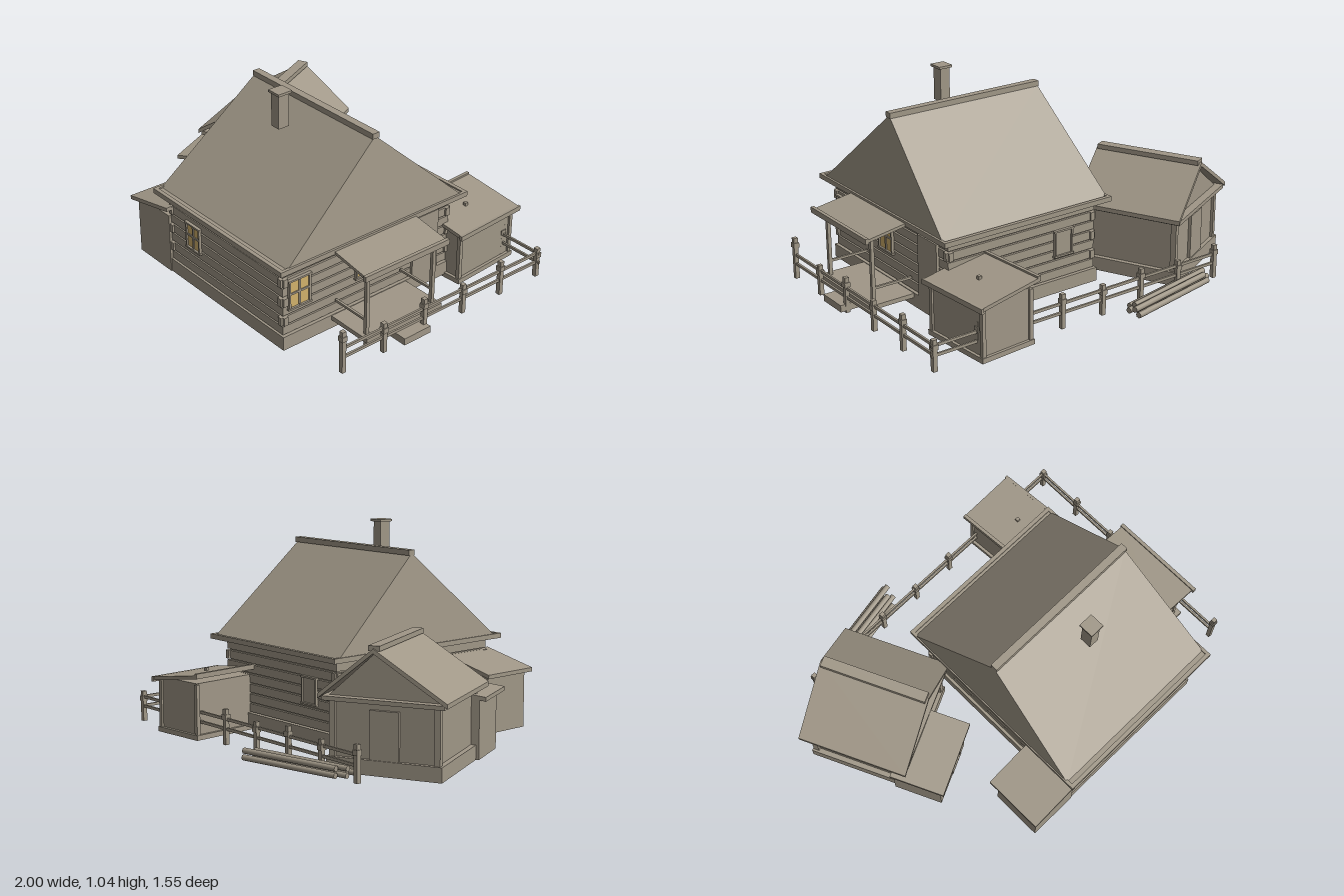
import * as THREE from 'three';

export function createModel() {
  const root = new THREE.Group();
  const wood = new THREE.MeshStandardMaterial({ name: 'weathered wood', color: 0xa09787 });
  const glow = new THREE.MeshStandardMaterial({ name: 'lit window', color: 0xd3b26c });

  const group = (name, parent = root) => {
    const g = new THREE.Group();
    g.name = name;
    parent.add(g);
    return g;
  };
  const add = (parent, name, geo, mat = wood) => {
    const m = new THREE.Mesh(geo, mat);
    m.name = name;
    parent.add(m);
    return m;
  };
  // Box given by its extents on each axis; rise lifts it along x like a sloping roof
  const box = (parent, name, [x0, x1], [y0, y1], [z0, z1], mat = wood, rise = 0) => {
    const g = new THREE.BoxGeometry(x1 - x0, y1 - y0, z1 - z0);
    const p = g.attributes.position;
    for (let i = 0; i < p.count; i++) p.setY(i, p.getY(i) + rise * (p.getX(i) / (x1 - x0) + 0.5));
    g.translate((x0 + x1) / 2, (y0 + y1) / 2, (z0 + z1) / 2);
    g.computeVertexNormals();
    return add(parent, name, g, mat);
  };
  // Solid with a rectangular foot and a different, smaller rectangular top
  const taper = (parent, name, foot, top, y0, y1) => {
    const g = new THREE.BoxGeometry(1, 1, 1);
    const p = g.attributes.position;
    for (let i = 0; i < p.count; i++) {
      const up = p.getY(i) > 0, r = up ? top : foot;
      p.setXYZ(i, p.getX(i) < 0 ? r[0] : r[1], up ? y1 : y0, p.getZ(i) < 0 ? r[2] : r[3]);
    }
    g.computeVertexNormals();
    return add(parent, name, g);
  };
  // Framed window or shutter facing +z, centred on its own origin
  const windowUnit = (parent, name, w, h, x, y, z, turn, lit) => {
    const g = group(name, parent);
    const a = w / 2, b = h / 2, t = 0.009;
    box(g, 'pane', [-a, a], [-b, b], [0, 0.006], lit ? glow : wood);
    for (const s of [-1, 1]) {
      box(g, 'sideFrame', [s * a - t / 2, s * a + t / 2], [-b, b], [0, 0.014]);
      box(g, 'crossFrame', [-a - t, a + t], [s * b - t / 2, s * b + t / 2], [0, 0.016]);
    }
    if (lit) {
      box(g, 'mullion', [-0.005, 0.005], [-b, b], [0, 0.011]);
      box(g, 'glazingBar', [-a, a], [-0.002, 0.008], [0, 0.011]);
    }
    g.position.set(x, y, z);
    g.rotation.y = turn;
  };
  // Log wall box: a core with stacked, protruding rows
  const logWalls = (parent, x, z, y0, y1, rows) => {
    box(parent, 'wallCore', x, [y0, y1], z);
    const h = (y1 - y0) / rows, o = 0.012;
    for (let i = 0; i < rows; i++) {
      const y = [y0 + i * h + 0.004, y0 + (i + 1) * h - 0.004];
      const e = i % 2 ? 0.022 : 0.012;
      for (const s of [0, 1]) {
        box(parent, 'wallLog', [x[0] - e, x[1] + e], y, [z[s] - o, z[s] + o]);
        box(parent, 'wallLog', [x[s] - o, x[s] + o], y, [z[0] - e, z[1] + e]);
      }
    }
  };

  // Main house
  const house = group('mainHouse');
  box(house, 'foundation', [-0.205, 0.675], [0.015, 0.085], [-0.32, 0.71]);
  logWalls(house, [-0.18, 0.65], [-0.295, 0.69], 0.085, 0.435, 7);
  box(house, 'eaveSlab', [-0.235, 0.705], [0.437, 0.458], [-0.35, 0.74]);
  for (const z of [-0.36, 0.745]) box(house, 'eaveBeam', [-0.25, 0.72], [0.44, 0.465], [z - 0.01, z + 0.01]);
  for (const x of [-0.242, 0.712]) box(house, 'endBeam', [x - 0.008, x + 0.008], [0.44, 0.465], [-0.36, 0.745]);
  taper(house, 'roof', [-0.245, 0.71, -0.34, 0.715], [-0.2, 0.66, 0.16, 0.18], 0.455, 0.905);
  box(house, 'ridgeCap', [-0.2, 0.665], [0.903, 0.93], [0.15, 0.188]);
  windowUnit(house, 'frontWindow', 0.1, 0.13, 0, 0.29, 0.702, 0, true);
  for (const z of [0.612, 0.22]) windowUnit(house, 'sideWindow', 0.115, 0.145, 0.662, 0.29, z, Math.PI / 2, true);
  windowUnit(house, 'backShutter', 0.1, 0.13, 0, 0.27, -0.307, Math.PI, false);
  box(house, 'sideDoor', [0.65, 0.675], [0.085, 0.4], [-0.23, -0.07]);

  // Chimney
  const chimney = group('chimney');
  box(chimney, 'stack', [0.205, 0.258], [0.86, 1.03], [0.335, 0.395]);
  box(chimney, 'chimneyCap', [0.195, 0.27], [1.028, 1.04], [0.325, 0.403]);

  // Side porch with posts, deck and step
  const porch = group('sidePorch');
  box(porch, 'porchRoof', [0.68, 0.935], [0.445, 0.46], [-0.04, 0.45], wood, -0.04);
  box(porch, 'porchFascia', [0.92, 0.938], [0.402, 0.43], [-0.045, 0.46]);
  box(porch, 'deck', [0.66, 0.92], [0.06, 0.082], [-0.03, 0.43]);
  for (const z of [0.0, 0.4]) {
    box(porch, 'porchPost', [0.872, 0.89], [0.02, 0.425], [z - 0.009, z + 0.009]);
    box(porch, 'porchRail', [0.67, 0.885], [0.148, 0.16], [z - 0.006, z + 0.006]);
  }
  box(porch, 'step', [0.9, 0.995], [0.02, 0.055], [0.11, 0.27]);

  // Small entry lean-to on the right flank
  const entry = group('entryLeanTo');
  box(entry, 'entryBody', [-0.45, -0.19], [0.015, 0.325], [0.45, 0.715]);
  box(entry, 'entryRoof', [-0.48, -0.17], [0.3, 0.32], [0.425, 0.74], wood, 0.065);

  // Rotated annexe behind
  const annexe = group('annexe');
  annexe.position.set(-0.605, 0, -0.257);
  annexe.rotation.y = 0.442;
  box(annexe, 'annexeFoundation', [-0.275, 0.275], [0.015, 0.085], [-0.255, 0.255]);
  box(annexe, 'annexeWalls', [-0.25, 0.25], [0.085, 0.35], [-0.235, 0.235]);
  for (const x of [-0.25, 0.25]) for (const z of [-0.235, 0.235])
    box(annexe, 'cornerPost', [x - 0.014, x + 0.014], [0.085, 0.35], [z - 0.014, z + 0.014]);
  box(annexe, 'annexeEaves', [-0.29, 0.29], [0.342, 0.362], [-0.275, 0.275]);
  taper(annexe, 'gableCore', [-0.27, 0.27, -0.235, 0.235], [0.03, 0.045, -0.235, 0.235], 0.36, 0.565);
  box(annexe, 'roofSlope', [-0.306, 0.04], [0.35, 0.372], [-0.28, 0.28], wood, 0.218);
  box(annexe, 'roofSlope', [0.04, 0.306], [0.568, 0.59], [-0.28, 0.28], wood, -0.218);
  box(annexe, 'annexeRidge', [0.012, 0.066], [0.578, 0.602], [-0.27, 0.27]);
  box(annexe, 'annexeDoor', [-0.07, 0.07], [0.085, 0.31], [-0.25, -0.23]);

  // Annexe lean-to
  box(annexe, 'leanToBody', [-0.29, 0.035], [0.015, 0.315], [0.2, 0.45]);
  box(annexe, 'leanToRoof', [-0.32, 0.055], [0.292, 0.312], [0.2, 0.481], wood, 0.045);
  windowUnit(annexe, 'leanToShutter', 0.1, 0.13, -0.1, 0.2, 0.45, 0, false);

  // Back shed
  const shed = group('backShed');
  shed.position.set(0.6, 0, -0.48);
  shed.rotation.y = 0.07;
  box(shed, 'shedFloor', [-0.15, 0.155], [0, 0.025], [-0.195, 0.2]);
  box(shed, 'shedBody', [-0.135, 0.14], [0.02, 0.28], [-0.18, 0.185]);
  for (const x of [-0.135, 0.14]) for (const z of [-0.18, 0.185])
    box(shed, 'shedPost', [x - 0.01, x + 0.01], [0.02, 0.275], [z - 0.01, z + 0.01]);
  box(shed, 'shedRoof', [-0.17, 0.17], [0.312, 0.33], [-0.21, 0.21], wood, -0.052);
  box(shed, 'shedFascia', [0.16, 0.175], [0.255, 0.28], [-0.215, 0.215]);
  box(shed, 'shedTrim', [-0.172, -0.155], [0.312, 0.337], [-0.21, 0.21]);
  box(shed, 'roofPeg', [0, 0.018], [0.29, 0.318], [-0.005, 0.013]);

  // Fence along the side and the back
  const fence = group('fence');
  const post = (x, z, top) => {
    box(fence, 'fencePost', [x - 0.011, x + 0.011], [0.01, top], [z - 0.011, z + 0.011]);
    box(fence, 'postCap', [x - 0.015, x + 0.015], [top - 0.05, top - 0.025], [z - 0.015, z + 0.015]);
  };
  [0.605, 0.363, 0.118, -0.128, -0.375, -0.625].forEach((z, i) => post(0.957, z, i === 0 ? 0.225 : i % 2 ? 0.165 : 0.19));
  [-0.7, -0.46, -0.225, 0.01, 0.25, 0.49, 0.72].forEach((x, i) => post(x, -0.627, i % 2 ? 0.165 : 0.185));
  for (const y of [0.088, 0.136]) {
    box(fence, 'sideRail', [0.952, 0.962], [y - 0.007, y + 0.007], [-0.63, 0.61]);
    box(fence, 'backRail', [-0.7, 0.975], [y - 0.007, y + 0.007], [-0.632, -0.622]);
  }

  // Log pile
  const pile = group('logPile');
  pile.position.set(-0.36, 0, -0.675);
  pile.rotation.y = 0.185;
  const logs = [[-0.05, 0.035, 0.02], [-0.018, 0.035, -0.02], [0.016, 0.035, 0.01], [0.045, 0.035, -0.03], [-0.034, 0.062, 0.03], [0, 0.062, -0.01]];
  for (const [z, y, x] of logs) {
    const log = add(pile, 'log', new THREE.CylinderGeometry(0.014, 0.015, 0.54, 8));
    log.rotation.z = Math.PI / 2;
    log.position.set(x, y, z);
  }
  return root;
}
